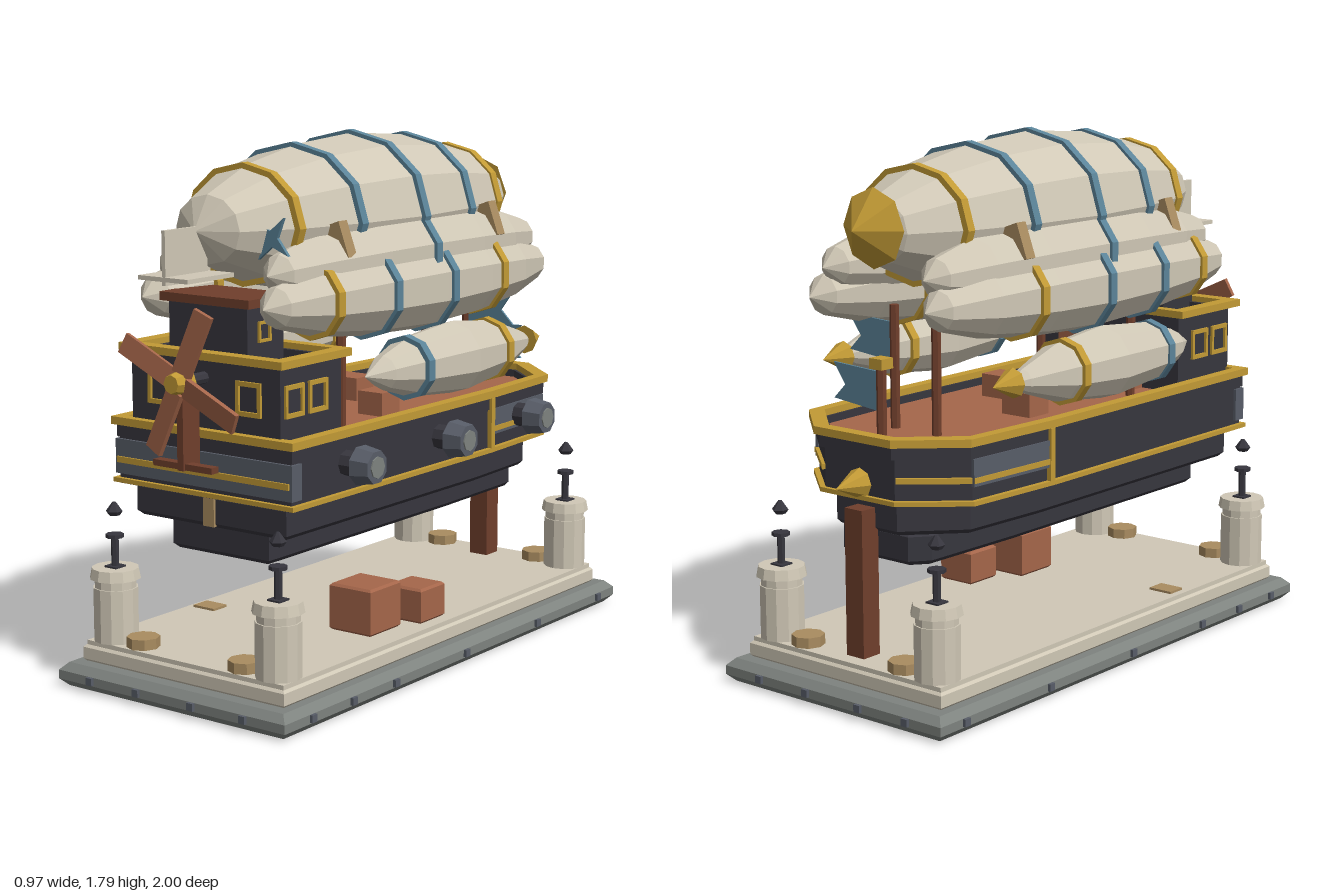
import * as THREE from 'three';

const mat = (name, color) => Object.assign(new THREE.MeshStandardMaterial({ color }), { name });
const M = {
  cream: mat('cream canvas and stone', 0xd0c8b6), gold: mat('gold trim', 0xc29a35),
  teal: mat('teal bands', 0x5b8499), copper: mat('copper wood', 0xa5664a),
  brown: mat('dark brown wood', 0x703f2c), dark: mat('charcoal hull', 0x37363e),
  slate: mat('slate metal', 0x585d68), stone: mat('grey stone', 0x7e837f), tan: mat('tan leather', 0xa98c60),
};

// faceted mesh placed in a parent
function add(parent, name, geo, material, x = 0, y = 0, z = 0) {
  const g = geo.index ? geo.toNonIndexed() : geo;
  g.computeVertexNormals();
  const m = new THREE.Mesh(g, material);
  m.name = name;
  m.position.set(x, y, z);
  parent.add(m);
  return m;
}
const box = (w, h, d) => new THREE.BoxGeometry(w, h, d);
const cyl = (r1, r2, h, n = 8) => new THREE.CylinderGeometry(r1, r2, h, n);
const toShape = pts => new THREE.Shape(pts.map(([x, z]) => new THREE.Vector2(x, -z)));

// horizontal plate from an (x, z) outline, with optional bevel and hole
function slab(pts, y0, y1, b = 0, hole = null) {
  const s = toShape(pts);
  if (hole) s.holes.push(toShape(hole));
  const g = new THREE.ExtrudeGeometry(s, {
    depth: y1 - y0 - 2 * b, bevelEnabled: b > 0, bevelSize: b, bevelThickness: b, bevelOffset: -b, bevelSegments: 1,
  });
  return g.rotateX(-Math.PI / 2).translate(0, y0 + b, 0);
}
const rect = (w, z0, z1) => [[-w, z0], [w, z0], [w, z1], [-w, z1]];
// hull outline: straight sides, then a tapering bow toward -z
const plan = (w, stern, shoulder, tip, tipW) =>
  [[-w, stern], [w, stern], [w, -0.3], [w * 0.94, shoulder], [tipW, tip], [-tipW, tip], [-w * 0.94, shoulder], [-w, -0.3]];

// envelope profile as fractions of half length and radius
const PROFILE = [[-1, 0], [-0.92, 0.42], [-0.68, 0.73], [-0.36, 0.92], [0, 1], [0.36, 0.92], [0.68, 0.73], [0.92, 0.42], [1, 0]];
const SLIM = [[-1, 0], [-0.85, 0.32], [-0.5, 0.78], [0, 1], [0.5, 0.82], [0.8, 0.46], [1, 0]];
function radiusAt(profile, t) {
  const i = Math.max(1, profile.findIndex(p => p[0] >= t));
  const [a, b] = [profile[i - 1], profile[i]];
  return a[1] + (b[1] - a[1]) * (t - a[0]) / (b[0] - a[0]);
}
// gas bag lying along z, with raised bands [z, material]
function envelope(parent, name, { x, y, z0, z1, r, sx = 1, sides = 10, profile = PROFILE, bands }) {
  const g = new THREE.Group(), c = (z0 + z1) / 2, h = (z1 - z0) / 2;
  g.name = name;
  g.position.set(x, y, c);
  g.scale.x = sx;
  const lathe = pts => new THREE.LatheGeometry(pts.map(p => new THREE.Vector2(...p)), sides).rotateX(Math.PI / 2);
  add(g, 'gasBag', lathe(profile.map(([t, f]) => [f * r, t * h])), M.cream);
  for (const [z, m] of bands) {
    const R = radiusAt(profile, (z - c) / h) * r;
    add(g, 'band', lathe([[R - 0.02, -0.016], [R + 0.012, -0.016], [R + 0.012, 0.016], [R - 0.02, 0.016]]), m, 0, 0, z - c);
  }
  parent.add(g);
}
// cone pointing toward -z
const spike = (r, len) => new THREE.ConeGeometry(r, len, 8).rotateX(-Math.PI / 2);

function dock(root) {
  const g = new THREE.Group();
  g.name = 'dock';
  root.add(g);
  add(g, 'footing', slab(rect(0.472, 0.988, -0.988), 0, 0.08, 0.025), M.stone);
  add(g, 'platform', slab(rect(0.42, 0.925, -0.925), 0.08, 0.135, 0.008), M.cream);
  add(g, 'platformTop', slab(rect(0.41, 0.915, -0.915), 0.13, 0.15), M.cream);
  for (const s of [-1, 1]) {
    for (const z of [-0.87, -0.45, 0, 0.41, 0.64, 0.85]) add(g, 'rivet', box(0.025, 0.025, 0.025), M.slate, s * 0.47, 0.042, z);
    for (const x of [-0.33, -0.13, 0.1, 0.31]) add(g, 'rivet', box(0.025, 0.025, 0.025), M.slate, x, 0.042, s * 0.987);
    for (const t of [-1, 1]) {
      // bollard with lamp rod and floating finial
      const b = new THREE.Group();
      b.name = 'bollard';
      b.position.set(s * 0.34, 0, t * 0.85);
      g.add(b);
      add(b, 'post', cyl(0.07, 0.07, 0.24, 12), M.cream, 0, 0.27);
      add(b, 'foot', cyl(0.075, 0.075, 0.18, 12), M.cream, 0, 0.24);
      add(b, 'collar', cyl(0.078, 0.085, 0.035, 12), M.cream, 0, 0.377);
      add(b, 'socket', box(0.05, 0.01, 0.05), M.dark, 0, 0.395);
      add(b, 'rod', cyl(0.013, 0.013, 0.11, 6), M.dark, 0, 0.445);
      add(b, 'rodCap', cyl(0.03, 0.03, 0.012), M.dark, 0, 0.5);
      add(b, 'finial', cyl(0.006, 0.028, 0.03, 6), M.dark, 0, 0.597);
      add(b, 'finialBase', cyl(0.028, 0.018, 0.014, 6), M.dark, 0, 0.575);
      add(g, 'coil', cyl(0.055, 0.055, 0.036), M.tan, s * 0.213, 0.167, t * 0.86);
    }
  }
  add(g, 'hatch', box(0.09, 0.008, 0.07), M.tan, -0.34, 0.154, 0.375);
  add(g, 'largeCrate', slab(rect(0.085, 0.085, -0.085), 0, 0.16, 0.008), M.copper, 0.24, 0.15, 0.26);
  add(g, 'smallCrate', slab(rect(0.07, 0.07, -0.07), 0, 0.12, 0.008), M.copper, 0.3, 0.15, 0.05);
  add(g, 'mooringPost', box(0.075, 0.5, 0.075), M.brown, 0, 0.39, -0.825);
}

function hull(root) {
  const g = new THREE.Group();
  g.name = 'hull';
  root.add(g);
  add(g, 'keel', slab(plan(0.2, 0.72, -0.7, -0.76, 0.14), 0.455, 0.565, 0.015), M.dark);
  add(g, 'lowerHull', slab(plan(0.31, 0.77, -0.63, -0.8, 0.13), 0.56, 0.67, 0.015), M.dark);
  add(g, 'upperHull', slab(plan(0.355, 0.8, -0.67, -0.83, 0.15), 0.665, 0.83), M.dark);
  const outer = plan(0.362, 0.805, -0.685, -0.85, 0.155), inner = plan(0.325, 0.77, -0.66, -0.81, 0.135);
  add(g, 'bulwark', slab(outer, 0.82, 0.865, 0, inner), M.dark);
  add(g, 'deck', slab(inner, 0.825, 0.84), M.copper);
  add(g, 'topRail', slab(plan(0.375, 0.82, -0.695, -0.865, 0.165), 0.862, 0.888, 0, plan(0.335, 0.78, -0.66, -0.82, 0.14)), M.gold);
  add(g, 'lowerRail', slab(plan(0.373, 0.815, -0.68, -0.845, 0.16), 0.67, 0.685), M.gold);
  // stern belt
  add(g, 'sternBelt', box(0.73, 0.115, 0.05), M.slate, 0, 0.757, 0.785);
  add(g, 'sternStrip', box(0.71, 0.02, 0.01), M.gold, 0, 0.747, 0.812);
  add(g, 'keelStrap', box(0.045, 0.1, 0.012), M.tan, 0, 0.615, 0.772);
  // bow trim
  for (const s of [-1, 1]) {
    const belt = add(g, 'bowBelt', box(0.012, 0.09, 0.37), M.slate, s * 0.35, 0.775, -0.49);
    const strip = add(g, 'bowStrip', box(0.016, 0.018, 0.37), M.gold, s * 0.352, 0.75, -0.49);
    belt.rotation.y = strip.rotation.y = s * 0.057;
    add(g, 'bowBracket', box(0.02, 0.18, 0.022), M.gold, s * 0.362, 0.77, -0.31);
    const edge = add(g, 'bowEdgeStrip', box(0.016, 0.018, 0.24), M.gold, s * 0.246, 0.75, -0.752);
    edge.rotation.y = s * 0.86;
  }
  add(g, 'bowSpike', spike(0.055, 0.12), M.gold, 0, 0.72, -0.88);
  // cannons along the left side
  for (const z of [0.52, 0, -0.49]) {
    add(g, 'cannonNeck', cyl(0.042, 0.042, 0.1).rotateZ(Math.PI / 2), M.dark, 0.39, 0.775, z);
    add(g, 'cannonHead', cyl(0.055, 0.066, 0.065).rotateZ(-Math.PI / 2).rotateX(Math.PI / 8), M.slate, 0.445, 0.775, z);
    add(g, 'cannonMuzzle', cyl(0.036, 0.036, 0.012).rotateZ(Math.PI / 2), M.stone, 0.476, 0.775, z);
  }
  // deck cargo and masts
  add(g, 'deckCrate', box(0.3, 0.2, 0.1), M.copper, 0, 0.94, 0.43);
  add(g, 'deckCrate', box(0.1, 0.08, 0.1), M.copper, 0.15, 0.88, 0.06);
  add(g, 'deckCrate', box(0.12, 0.08, 0.1), M.copper, -0.1, 0.88, -0.12);
  for (const s of [-1, 1]) for (const z of [0.34, -0.56])
    add(g, 'strut', cyl(0.016, 0.016, 0.42, 6), M.brown, s * (z > 0 ? 0.2 : 0.09), 1.04, z);
  add(g, 'bowMast', cyl(0.017, 0.017, 0.26, 6), M.brown, 0.04, 0.96, -0.68);
  add(g, 'mastCap', box(0.055, 0.035, 0.055), M.gold, 0.04, 1.08, -0.68);
  // swallow-tailed pennants
  const pen = new THREE.Shape([[0, -0.07], [0.2, -0.05], [0.15, 0], [0.2, 0.07], [0, 0.06]].map(p => new THREE.Vector2(...p)));
  for (const [x, y, z] of [[0.05, 0.99, -0.68], [0.09, 1.13, -0.56]])
    add(g, 'pennant', new THREE.ExtrudeGeometry(pen, { depth: 0.008, bevelEnabled: false }), M.teal, x, y, z);
}

function cabin(root) {
  const g = new THREE.Group();
  g.name = 'cabin';
  root.add(g);
  add(g, 'walls', slab(rect(0.305, 0.79, 0.48), 0.84, 1.115, 0, rect(0.27, 0.755, 0.515)), M.dark);
  add(g, 'cabinFloor', slab(rect(0.27, 0.755, 0.515), 1.0, 1.02), M.brown);
  add(g, 'roofRail', slab(rect(0.335, 0.82, 0.46), 1.11, 1.135, 0, rect(0.285, 0.77, 0.5)), M.gold);
  const frame = s => {
    const a = new THREE.Shape([[-1, -1], [1, -1], [1, 1], [-1, 1]].map(([x, y]) => new THREE.Vector2(x * s, y * s * 1.1)));
    a.holes.push(new THREE.Path([[-1, -1], [1, -1], [1, 1], [-1, 1]].map(([x, y]) => new THREE.Vector2(x * s * 0.74, y * s * 0.8))));
    return new THREE.ExtrudeGeometry(a, { depth: 0.009, bevelEnabled: false });
  };
  for (const s of [-1, 1]) {
    add(g, 'sternWindow', frame(0.05), M.gold, s * 0.182, 1.0, 0.79);
    for (const z of [0.725, 0.605]) add(g, 'sideWindow', frame(0.047).rotateY(s * Math.PI / 2), M.gold, s * 0.305, 1.0, z);
    add(g, 'wheelhouseWindow', frame(0.03).rotateY(s * Math.PI / 2), M.gold, s * 0.16, 1.2, 0.69);
  }
  add(g, 'wheelhouse', box(0.32, 0.28, 0.18), M.dark, 0, 1.15, 0.68);
  add(g, 'wheelhouseRoof', box(0.365, 0.028, 0.22), M.brown, 0, 1.295, 0.68);
  // rudder and propeller
  add(g, 'rudder', box(0.025, 0.26, 0.08), M.brown, 0, 0.9, 0.87);
  add(g, 'rudderBar', box(0.24, 0.02, 0.035), M.brown, 0, 0.782, 0.885);
  add(g, 'shaft', cyl(0.02, 0.02, 0.16, 8).rotateX(Math.PI / 2), M.dark, 0, 1.05, 0.84);
  add(g, 'hub', cyl(0.03, 0.046, 0.07, 8).rotateX(Math.PI / 2), M.gold, 0, 1.05, 0.915);
  for (let i = 0; i < 4; i++) {
    const blade = add(g, 'blade', box(0.22, 0.068, 0.016).rotateX(0.15).translate(0.14, 0, 0), M.copper, 0, 1.05, 0.913);
    blade.rotation.z = (65 + 90 * i) * Math.PI / 180;
  }
}

function balloons(root) {
  const g = new THREE.Group();
  g.name = 'balloons';
  root.add(g);
  envelope(g, 'mainEnvelope', { x: 0, y: 1.515, z0: -0.8, z1: 0.83, r: 0.262, sx: 1.18, sides: 12,
    bands: [[-0.55, M.gold], [-0.29, M.teal], [0.02, M.teal], [0.33, M.teal], [0.58, M.gold]] });
  add(g, 'tailCone', spike(0.13, 0.1), M.gold, 0, 1.525, -0.8);
  add(g, 'levelFin', box(0.2, 0.014, 0.22), M.cream, 0, 1.38, 0.87);
  add(g, 'uprightFin', box(0.014, 0.17, 0.2), M.cream, 0, 1.445, 0.875);
  for (const s of [-1, 1]) {
    envelope(g, 'upperSideEnvelope', { x: s * 0.215, y: 1.38, z0: -0.76, z1: 0.74, r: 0.152, bands: [[0.02, M.teal]] });
    envelope(g, 'lowerSideEnvelope', { x: s * 0.247, y: 1.285, z0: -0.79, z1: 0.8, r: 0.155,
      bands: [[0.55, M.gold], [0.28, M.teal], [-0.03, M.teal], [-0.36, M.gold]] });
    envelope(g, 'smallEnvelope', { x: s * 0.37, y: 1.04, z0: -0.54, z1: 0.44, r: 0.122, profile: SLIM,
      bands: [[0.21, M.teal], [-0.26, M.gold]] });
    add(g, 'smallTailCone', spike(0.05, 0.1), M.gold, s * 0.367, 1.04, -0.56);
    for (const [x, z] of [[0.27, 0.44], [0.29, -0.39]]) {
      const strap = add(g, 'strap', box(0.07, 0.12, 0.045), M.tan, s * x, 1.465, z);
      strap.rotation.z = s * 0.35;
    }
  }
  // small four-pointed vane
  const star = new THREE.Shape([...Array(8)].map((_, i) => {
    const a = i * Math.PI / 4 + Math.PI / 4 + 0.15, r = i % 2 ? 0.025 : 0.085;
    return new THREE.Vector2(Math.cos(a) * r, Math.sin(a) * r);
  }));
  add(g, 'vane', new THREE.ExtrudeGeometry(star, { depth: 0.012, bevelEnabled: false }), M.teal, 0.185, 1.49, 0.67);
}

export function createModel() {
  const root = new THREE.Group();
  root.name = 'airship';
  dock(root);
  hull(root);
  cabin(root);
  balloons(root);
  return root;
}
